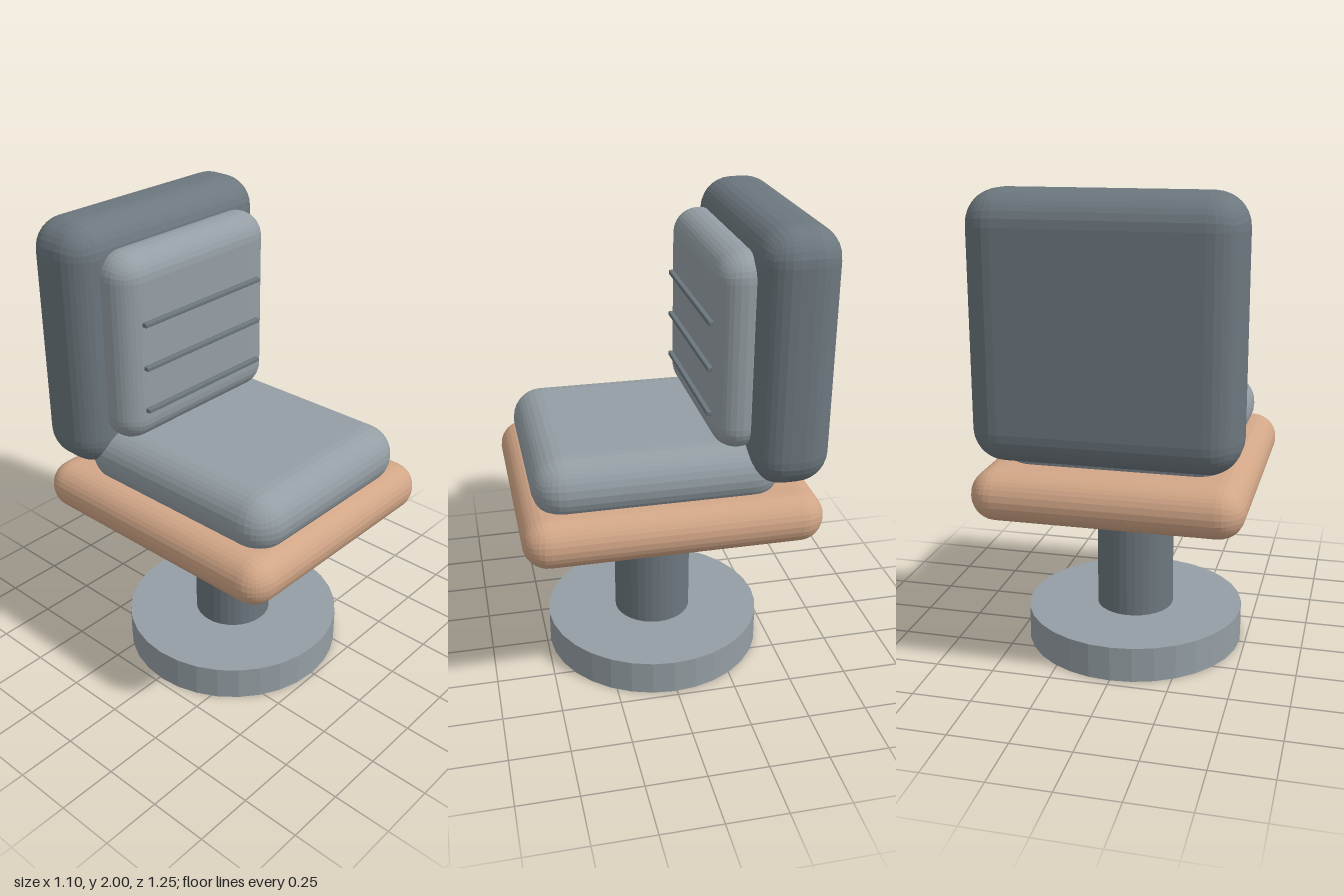
import * as THREE from 'three';
import { RoundedBoxGeometry } from 'three/addons/geometries/RoundedBoxGeometry.js';

function material(name, color) {
  const m = new THREE.MeshStandardMaterial({ color });
  m.name = name;
  return m;
}

// Separate the faces so every facet has its own flat normal
function faceted(geometry) {
  const g = geometry.index ? geometry.toNonIndexed() : geometry;
  g.computeVertexNormals();
  return g;
}

export function createModel() {
  const chair = new THREE.Group();
  chair.name = 'chair';

  const lightGrey = material('light grey', 0x949ea4);
  const darkGrey = material('dark grey', 0x6c777e);
  const wood = material('tan wood', 0xd2a687);

  function add(name, geometry, mat, x, y, z) {
    const mesh = new THREE.Mesh(faceted(geometry), mat);
    mesh.name = name;
    mesh.position.set(x, y, z);
    chair.add(mesh);
  }

  // Rounded block given by its width and its y and z ranges
  function block(name, mat, width, y0, y1, z0, z1, radius, segments = 4) {
    const g = new RoundedBoxGeometry(width, y1 - y0, z1 - z0, segments, radius);
    add(name, g, mat, 0, (y0 + y1) / 2, (z0 + z1) / 2);
  }

  // Upright disc or post
  function disc(name, mat, radius, y0, y1) {
    const g = new THREE.CylinderGeometry(radius, radius, y1 - y0, 32);
    add(name, g, mat, 0, (y0 + y1) / 2, 0.01);
  }

  // Pedestal
  disc('base', lightGrey, 0.475, 0, 0.15);
  disc('post', darkGrey, 0.168, 0.15, 0.67);
  disc('collar', wood, 0.22, 0.66, 0.7);

  // Seat
  block('seatFrame', wood, 1.104, 0.692, 0.905, -0.608, 0.625, 0.105);
  block('seatCushion', lightGrey, 0.916, 0.85, 1.11, -0.45, 0.57, 0.129);

  // Backrest
  block('backrest', darkGrey, 1.066, 0.945, 2, -0.625, -0.295, 0.135);
  block('backCushion', lightGrey, 0.86, 1.085, 1.893, -0.375, -0.157, 0.107);

  // Piping across the back cushion
  for (const y of [1.238, 1.426, 1.614]) {
    block('backPiping', darkGrey, 0.68, y - 0.01, y + 0.01, -0.165, -0.138, 0.005, 1);
  }

  return chair;
}
